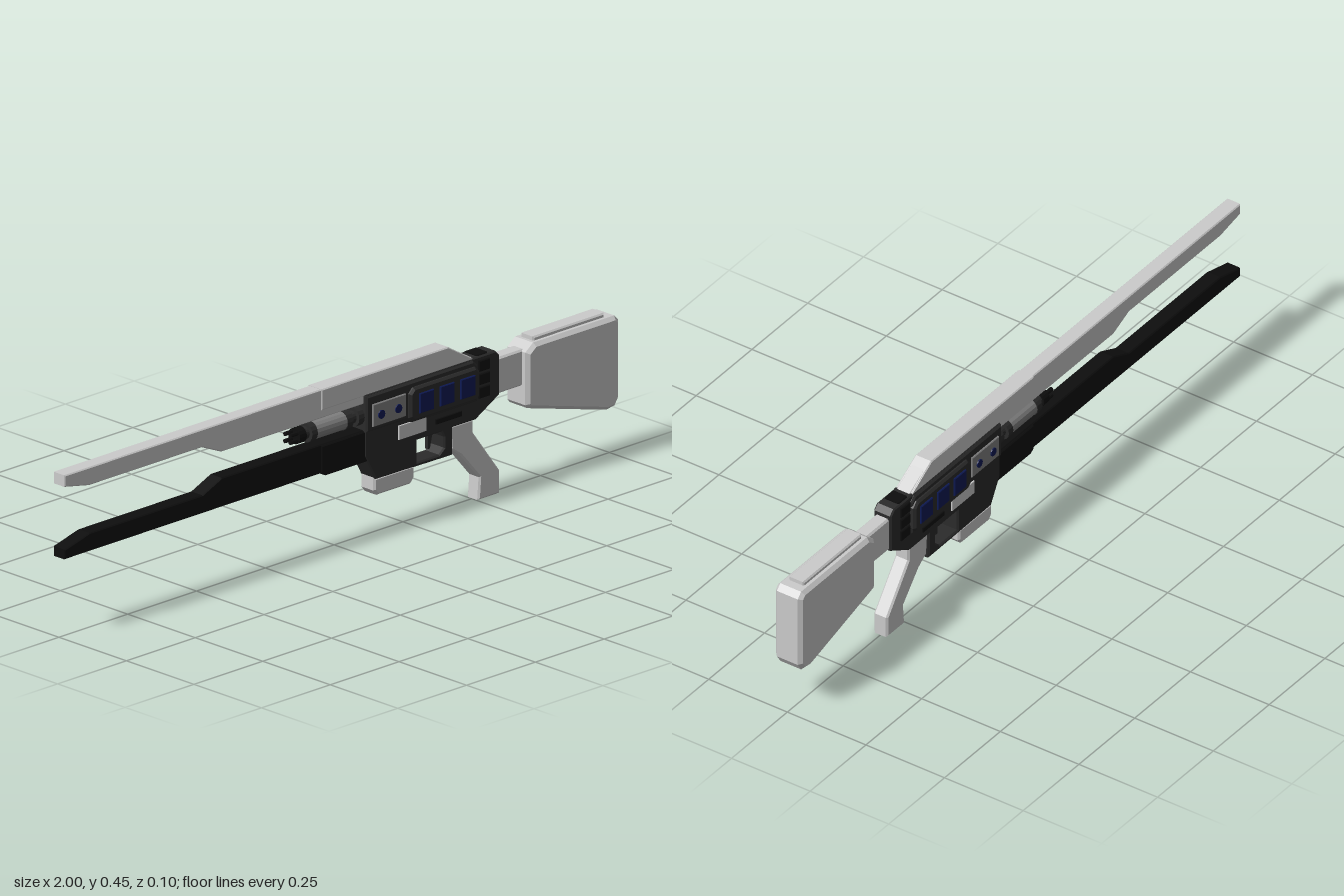
import * as THREE from 'three';

const mat = (color) => new THREE.MeshStandardMaterial({ color, flatShading: true });

export function createModel() {
  const model = new THREE.Group();
  const grey = mat(0xcccccc), dark = mat(0x2b2b2b), black = mat(0x0e0e0e);
  const steel = mat(0x808080), blue = mat(0x0e1a55);

  const add = (name, geometry, material) => {
    const mesh = new THREE.Mesh(geometry, material);
    mesh.name = name;
    model.add(mesh);
    return mesh;
  };

  // Side profile extruded to a half width, with chamfered edges kept inside the profile
  const plate = (name, points, half, material, bevel = 0.005, z = 0, hole) => {
    const shape = new THREE.Shape(points.map((p) => new THREE.Vector2(...p)));
    if (hole) shape.holes.push(new THREE.Path(hole.map((p) => new THREE.Vector2(...p))));
    const geometry = new THREE.ExtrudeGeometry(shape, {
      depth: 2 * (half - bevel), bevelEnabled: bevel > 0, bevelSize: bevel,
      bevelThickness: bevel, bevelOffset: -bevel, bevelSegments: 1,
    });
    geometry.translate(0, 0, z - half + bevel);
    return add(name, geometry, material);
  };
  const rect = (x0, x1, y0, y1) => [[x0, y0], [x1, y0], [x1, y1], [x0, y1]];

  // Cylinder lying along x
  const rod = (name, x0, x1, y, r, material, z = 0, sides = 16) => {
    const geometry = new THREE.CylinderGeometry(r, r, x1 - x0, sides).rotateZ(Math.PI / 2);
    add(name, geometry, material).position.set((x0 + x1) / 2, y, z);
  };

  // Upper and lower rails
  plate('upperRail', [[-1, 0.42], [-0.91, 0.402], [-0.5, 0.402], [-0.43, 0.372], [0.1, 0.372],
    [0.49, 0.372], [0.49, 0.395], [0.39, 0.452], [-1, 0.452]], 0.022, grey, 0.003);
  plate('upperRailSleeve', [[-0.07, 0.395], [0.485, 0.395], [0.39, 0.453], [-0.07, 0.453]],
    0.026, grey, 0.003);
  plate('lowerRail', [[-1, 0.22], [0.1, 0.22], [0.1, 0.3], [-0.43, 0.3], [-0.5, 0.27],
    [-0.91, 0.27], [-1, 0.247]], 0.022, black, 0.003);
  plate('lowerRailSleeve', [[-0.07, 0.222], [-0.055, 0.212], [0.1, 0.212], [0.1, 0.297],
    [-0.07, 0.297]], 0.026, black, 0.003);

  // Barrel between the rails
  rod('barrelSleeve', -0.09, 0.03, 0.337, 0.025, steel);
  rod('barrelCore', -0.13, 0.1, 0.337, 0.017, dark);
  for (const x of [-0.105, 0.025, 0.065]) rod('barrelRing', x, x + 0.02, 0.337, 0.027, dark);
  rod('muzzleCollar', -0.145, -0.12, 0.337, 0.022, black);
  for (let i = 0; i < 4; i++) {
    const a = Math.PI / 4 + i * Math.PI / 2;
    rod('muzzleProng', -0.17, -0.135, 0.337 + 0.014 * Math.sin(a), 0.006, black,
      0.014 * Math.cos(a), 8);
  }

  // Receiver with open trigger guard
  plate('receiver', [[0.085, 0.228], [0.125, 0.155], [0.405, 0.152], [0.405, 0.228],
    [0.49, 0.228], [0.575, 0.275], [0.575, 0.385], [0.56, 0.4], [0.085, 0.4]], 0.028, dark, 0.004,
  0, [[0.275, 0.165], [0.275, 0.226], [0.365, 0.226], [0.373, 0.21], [0.373, 0.18], [0.355, 0.165]]);
  plate('trigger', [[0.335, 0.18], [0.343, 0.18], [0.355, 0.23], [0.335, 0.23]], 0.006, dark, 0.001);
  plate('receiverHousing', [[0.085, 0.295], [0.23, 0.295], [0.25, 0.28], [0.49, 0.28],
    [0.49, 0.38], [0.475, 0.395], [0.085, 0.395]], 0.034, dark, 0.005);
  plate('panelHousing', [[0.235, 0.3], [0.25, 0.288], [0.48, 0.288], [0.49, 0.3],
    [0.49, 0.365], [0.475, 0.38], [0.25, 0.38], [0.235, 0.365]], 0.044, dark, 0.006);

  // Details on both sides
  for (const s of [1, -1]) {
    for (let i = 0; i < 3; i++) {
      const x = 0.265 + i * 0.075;
      plate('bluePanel', rect(x, x + 0.052, 0.307, 0.362), 0.004, blue, 0.002, s * 0.045);
    }
    plate('sidePlate', rect(0.105, 0.225, 0.308, 0.37), 0.004, steel, 0.002, s * 0.035);
    for (const x of [0.133, 0.195]) {
      const lamp = add('blueLamp', new THREE.CylinderGeometry(0.012, 0.012, 0.008, 12)
        .rotateX(Math.PI / 2), blue);
      lamp.position.set(x, 0.337, s * 0.038);
    }
    plate('palePlate', rect(0.205, 0.305, 0.245, 0.284), 0.003, grey, 0.001, s * 0.029);
    plate('sideSlot', rect(0.34, 0.435, 0.253, 0.267), 0.003, black, 0.001, s * 0.029);
    for (let i = 0; i < 3; i++) {
      const y = 0.285 + i * 0.037;
      plate('rearLug', rect(0.495, 0.535, y, y + 0.03), 0.005, black, 0.002, s * 0.029);
    }
  }
  plate('rearCap', rect(0.495, 0.535, 0.385, 0.403), 0.024, black, 0.003);

  // Magazine and grip
  plate('magazine', [[0.12, 0.125], [0.132, 0.11], [0.255, 0.11], [0.268, 0.125],
    [0.268, 0.16], [0.12, 0.16]], 0.027, grey, 0.006);
  plate('grip', [[0.4, 0.23], [0.405, 0.165], [0.44, 0.14], [0.508, 0.062], [0.503, 0],
    [0.583, 0], [0.583, 0.062], [0.487, 0.19], [0.487, 0.23]], 0.022, grey, 0.005);

  // Shoulder stock
  plate('stockNeck', rect(0.565, 0.68, 0.275, 0.375), 0.021, grey, 0.005);
  plate('stock', [[0.662, 0.225], [0.67, 0.215], [0.955, 0.138], [0.985, 0.142], [1, 0.165],
    [1, 0.375], [0.985, 0.391], [0.69, 0.391], [0.662, 0.37]], 0.043, grey, 0.01);
  plate('cheekRest', rect(0.7, 0.96, 0.38, 0.402), 0.024, grey, 0.004);

  return model;
}
